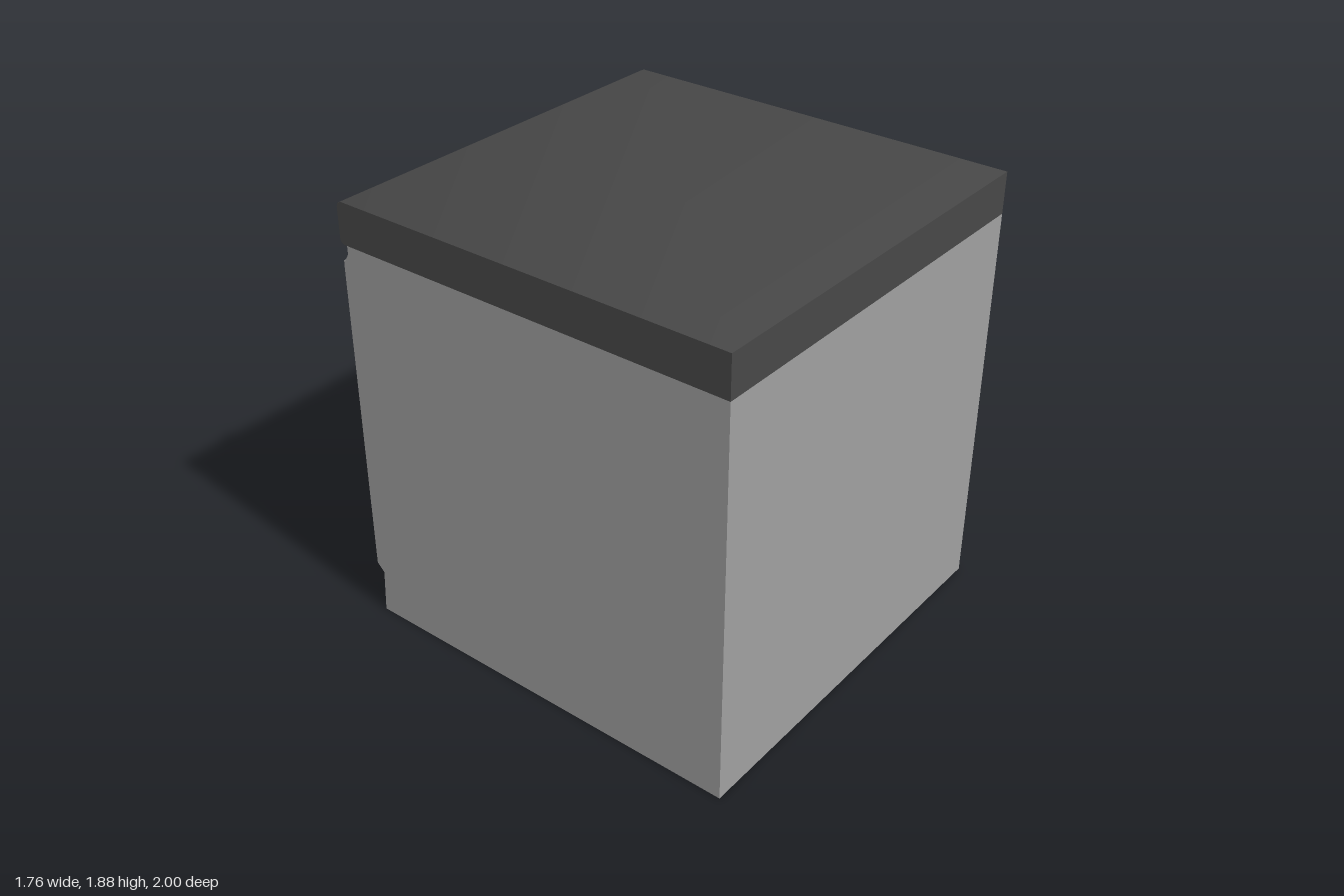
import * as THREE from 'three';
import { toCreasedNormals } from 'three/addons/utils/BufferGeometryUtils.js';

const WIDTH = 1.76;
const DOOR_Y = 0.93;

const grey = new THREE.MeshStandardMaterial({ color: 0xa0a0a0 });
const dark = new THREE.MeshStandardMaterial({ color: 0x484848 });
const glass = new THREE.MeshStandardMaterial({ color: 0xa0a0a0, flatShading: true });

function part(name, geometry, material, x = 0, y = 0, z = 0) {
  const mesh = new THREE.Mesh(geometry, material);
  mesh.name = name;
  mesh.position.set(x, y, z);
  return mesh;
}

// Extrudes a side profile of [z, y] points across the full width
function sideExtrude(points) {
  const shape = new THREE.Shape(points.map(([z, y]) => new THREE.Vector2(-z, y)));
  const geometry = new THREE.ExtrudeGeometry(shape, { depth: WIDTH, bevelEnabled: false });
  geometry.translate(0, 0, -WIDTH / 2).rotateY(Math.PI / 2);
  return toCreasedNormals(geometry, 0.5);
}

// Lathe of [radius, height] points whose axis points towards -z
function faceLathe(points, sides, crease) {
  const geometry = new THREE.LatheGeometry(points.map(([r, h]) => new THREE.Vector2(r, h)), sides);
  return toCreasedNormals(geometry.rotateX(-Math.PI / 2), crease);
}

export function createModel() {
  const model = new THREE.Group();
  model.name = 'washingMachine';

  // Cabinet with a recessed plinth and a groove below the control panel
  model.add(part('cabinet', sideExtrude([
    [1, 0], [-0.762, 0], [-0.75, 0.2], [-0.785, 0.235],
    [-0.785, 1.63], [-0.758, 1.675], [-0.758, 1.71], [1, 1.71],
  ]), grey));

  // Top slab with rounded edges on the door side
  model.add(part('controlPanel', sideExtrude([
    [1, 1.71], [-0.775, 1.71], [-0.787, 1.715], [-0.792, 1.73],
    [-0.792, 1.86], [-0.786, 1.877], [-0.77, 1.885], [1, 1.885],
  ]), dark));

  // Pillowed panel behind the door
  const w = 0.835, bottom = 0.275, top = 1.6;
  const outline = new THREE.Shape([
    new THREE.Vector2(-w, bottom), new THREE.Vector2(w, bottom),
    new THREE.Vector2(w, top), new THREE.Vector2(-w, top),
  ]);
  const panel = new THREE.ExtrudeGeometry(outline, {
    depth: 0.01, bevelThickness: 0.03, bevelSize: 0.042, bevelSegments: 3,
  });
  model.add(part('doorPanel', toCreasedNormals(panel, 0.7), grey, 0, 0, -0.78));

  // Door: chamfered ring sloping inwards around a faceted bulging window
  const door = new THREE.Group();
  door.name = 'door';
  door.position.y = DOOR_Y;
  door.add(part('doorRing', faceLathe([
    [0.63, 0.79], [0.65, 0.825], [0.65, 0.895], [0.625, 0.92],
    [0.57, 0.915], [0.47, 0.86], [0.44, 0.79],
  ], 20, 0.5), dark));

  const dome = new THREE.SphereGeometry(0.5, 5, 10, Math.PI, Math.PI);
  dome.scale(1, 1, 0.36);
  door.add(part('doorWindow', dome, glass, 0, 0, -0.829));
  model.add(door);

  // Controls
  const knob = faceLathe([
    [0.05, 0], [0.05, 0.012], [0.058, 0.016], [0.058, 0.042], [0.05, 0.05], [0, 0.05],
  ], 16, 0.6);
  model.add(part('programKnob', knob, grey, -0.61, 1.795, -0.785));

  const button = faceLathe([[0.033, 0], [0.033, 0.012], [0.028, 0.016], [0, 0.016]], 12, 0.6);
  for (let i = 0; i < 4; i++) {
    model.add(part('button', button, grey, -0.255 - i * 0.082, 1.795, -0.785));
  }
  return model;
}
